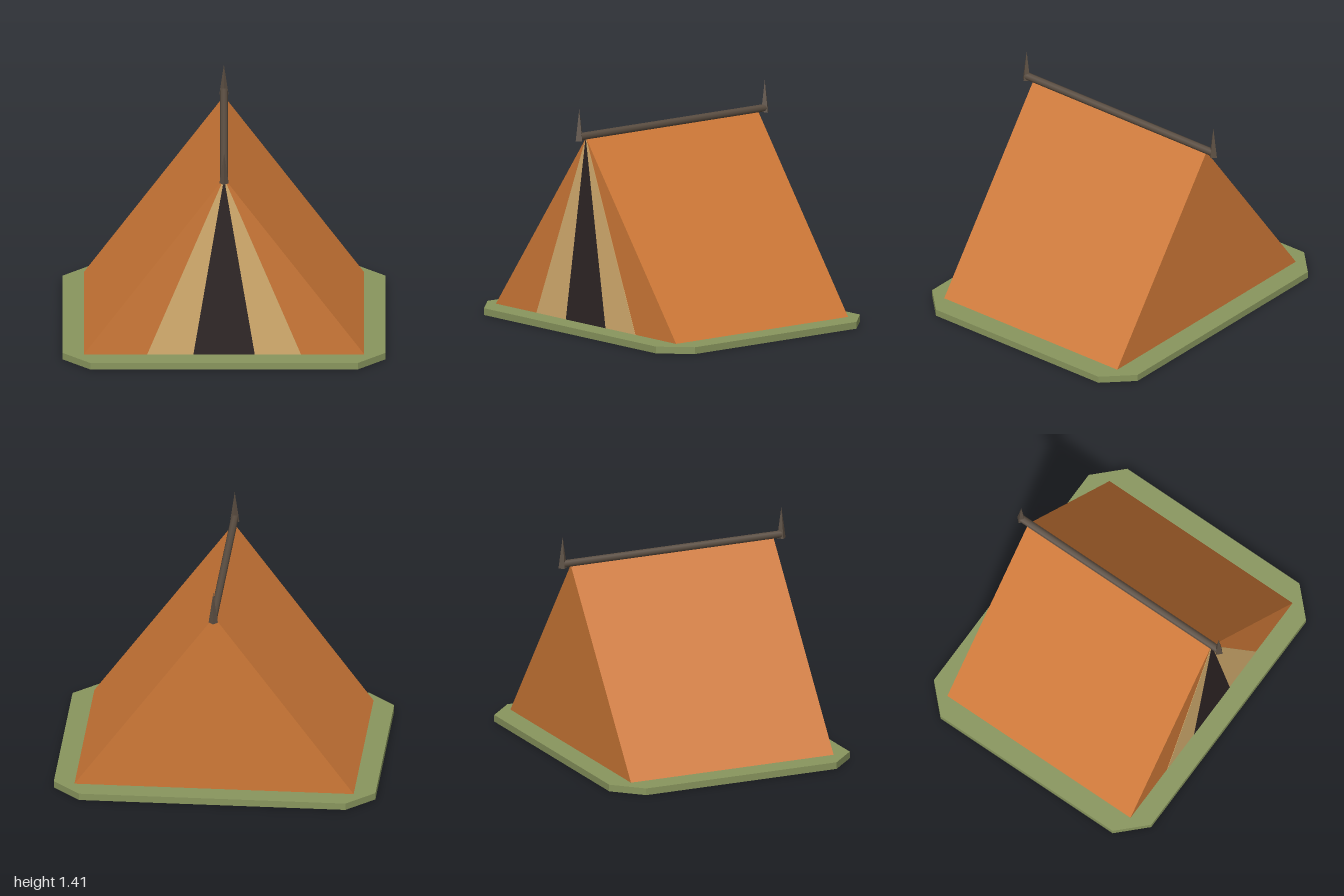
import * as THREE from 'three';

const material = (name, color) => {
  const m = new THREE.MeshStandardMaterial({ color });
  m.name = name;
  return m;
};

// Flat polygon extruded along z, starting at z = 0
const slab = (points, depth) => new THREE.ExtrudeGeometry(
  new THREE.Shape(points.map(([x, y]) => new THREE.Vector2(x, y))),
  { depth, bevelEnabled: false });

export function createModel() {
  const canvas = material('orange canvas', 0xcf7937);
  const lining = material('cream lining', 0xd8b070);
  const dark = material('dark opening', 0x2f2626);
  const grass = material('grass green', 0x88955d);
  const wood = material('dark wood', 0x5a4d41);

  const group = new THREE.Group();
  const add = (name, geometry, mat, x = 0, y = 0, z = 0) => {
    const mesh = new THREE.Mesh(geometry, mat);
    mesh.name = name;
    mesh.position.set(x, y, z);
    group.add(mesh);
    return mesh;
  };

  // Ground plate with cut corners
  const w = 1, d = 0.825, cut = 0.172;
  const plate = slab([
    [w, -d + cut], [w, d - cut], [w - cut, d], [-w + cut, d],
    [-w, d - cut], [-w, -d + cut], [-w + cut, -d], [w - cut, -d],
  ], 0.043);
  plate.rotateX(-Math.PI / 2);
  add('groundPlate', plate, grass);

  // Tent body and the layered triangles of its entrance
  const floor = 0.05, apex = 1.222, halfLength = 0.695;
  const triangle = (half, depth) => slab([[-half, floor], [half, floor], [0, apex]], depth);
  add('tentBody', triangle(0.868, halfLength * 2), canvas, 0, 0, -halfLength);
  add('entranceLining', triangle(0.476, 0.002), lining, 0, 0, halfLength);
  add('entranceOpening', triangle(0.19, 0.002), dark, 0, 0, halfLength + 0.002);

  // Ridge pole with a spike at each end
  const pole = new THREE.CylinderGeometry(0.024, 0.024, 1.5, 8);
  pole.rotateX(Math.PI / 2);
  add('ridgePole', pole, wood, 0, 1.235, 0);
  for (const side of [1, -1]) {
    const spike = new THREE.ConeGeometry(0.029, 0.2, 4).toNonIndexed();
    spike.computeVertexNormals();
    add(side > 0 ? 'frontSpike' : 'backSpike', spike, wood, 0, 1.31, side * 0.75);
  }
  return group;
}
